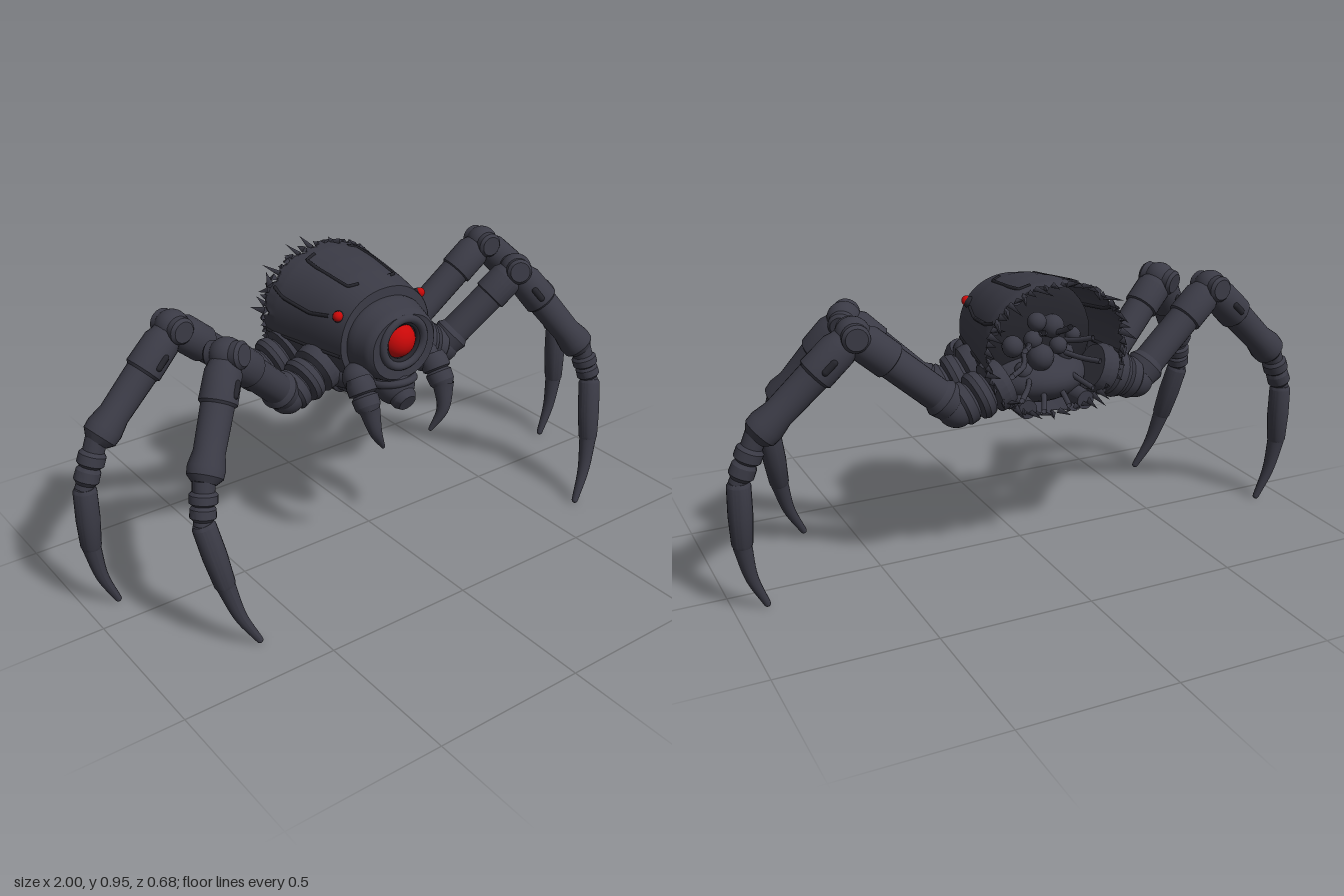
import * as THREE from 'three';
import { toCreasedNormals } from 'three/addons/utils/BufferGeometryUtils.js';
import { ParametricGeometry } from 'three/addons/geometries/ParametricGeometry.js';

const metal = new THREE.MeshStandardMaterial({ color: 0x3a3a45, side: THREE.DoubleSide });
const dark = new THREE.MeshStandardMaterial({ color: 0x24242b, side: THREE.DoubleSide });
const red = new THREE.MeshStandardMaterial({ color: 0xc80808 });
const V = (x, y, z) => new THREE.Vector3(x, y, z);
const UP = V(0, 1, 0);

let seed = 7;
const rand = () => (seed = (seed * 16807) % 2147483647) / 2147483647;

function add(parent, name, geometry, material = metal, pos) {
  const m = new THREE.Mesh(geometry, material);
  m.name = name;
  if (pos) m.position.copy(pos);
  parent.add(m);
  return m;
}

// Turned part from a to b; profile is a list of [fraction along, radius]
function turned(parent, name, a, b, profile, material = metal) {
  const d = b.clone().sub(a), len = d.length();
  const pts = profile.map(([t, r]) => new THREE.Vector2(r, t * len));
  const m = add(parent, name, toCreasedNormals(new THREE.LatheGeometry(pts, 24), 0.5), material, a);
  m.quaternion.setFromUnitVectors(UP, d.normalize());
  return m;
}

// Tube along points, tapering from r0 to r1
function tapered(parent, name, points, r0, r1) {
  const curve = new THREE.CatmullRomCurve3(points), n = 14, k = 16;
  const g = new THREE.TubeGeometry(curve, n, 1, k), p = g.attributes.position, v = V(0, 0, 0);
  for (let i = 0; i < p.count; i++) {
    const t = Math.floor(i / (k + 1)) / n, c = curve.getPointAt(t);
    v.fromBufferAttribute(p, i).sub(c).multiplyScalar(r0 + (r1 - r0) * t).add(c);
    p.setXYZ(i, v.x, v.y, v.z);
  }
  g.computeVertexNormals();
  add(parent, name, g);
  add(parent, name + 'End', new THREE.SphereGeometry(r1, 12, 8), metal, points[points.length - 1]);
}

// Hull cross-sections: z, half width, top, bottom
const HULL = [[0.09, 0.172, 0.897, 0.59], [0, 0.188, 0.918, 0.565], [-0.1, 0.205, 0.932, 0.55],
  [-0.2, 0.224, 0.939, 0.54], [-0.26, 0.23, 0.937, 0.535]];
const COLLAR = [[0.18, 0.085, 0.825, 0.655], [0.183, 0.118, 0.835, 0.625], [0.172, 0.128, 0.845, 0.615],
  [0.1, 0.15, 0.866, 0.6], [0.09, 0.15, 0.866, 0.6], [0.088, 0.172, 0.897, 0.59]];

function section(list, t, angle, target) {
  const f = Math.min(t * (list.length - 1), list.length - 1.0001), i = Math.floor(f);
  const [z, w, top, bot] = list[i].map((a, j) => a + (list[i + 1][j] - a) * (f - i));
  const s = Math.sin(angle), c = Math.cos(angle), mid = 0.735;
  const bend = (x) => Math.sign(x) * Math.abs(x) ** 0.94;
  return target.set(w * bend(c), mid + bend(s) * (s > 0 ? top - mid : mid - bot), z);
}

function tear(a) {
  return 0.014 * Math.sin(a * 11) + 0.01 * Math.sin(a * 23 + 1) + 0.008 * Math.sin(a * 37 + 2);
}

function buildBody(root) {
  const body = new THREE.Group();
  body.name = 'body';
  root.add(body);
  // Shell with a torn open rear
  add(body, 'shell', new ParametricGeometry((u, v, p) => {
    const a = u * Math.PI * 2;
    section(HULL, v, a, p);
    p.z += tear(a) * Math.max(0, (v - 0.75) * 4);
  }, 160, 16));
  add(body, 'frontCollar', toCreasedNormals(new ParametricGeometry((u, v, p) =>
    section(COLLAR, v, u * Math.PI * 2, p), 64, 20), 0.5));

  // Shreds around the torn rim
  const p = V(0, 0, 0);
  for (let i = 0; i < 58; i++) {
    const a = i / 58 * Math.PI * 2, len = 0.025 + 0.06 * rand() ** 2;
    section(HULL, 1, a, p);
    const dir = V((rand() - 0.5) * 0.9, (rand() - 0.5) * 0.9, -1).normalize();
    const shred = add(body, 'tornShred', new THREE.ConeGeometry(0.009 + 0.006 * rand(), len, 3), metal,
      p.clone().addScaledVector(dir, len * 0.35));
    shred.quaternion.setFromUnitVectors(UP, dir);
  }

  // Raised seams over the shell
  const seam = (name, coords) => add(body, name, new THREE.TubeGeometry(new THREE.CatmullRomCurve3(
    coords.map(([t, a]) => section(HULL, t, a, V(0, 0, 0))), false, 'catmullrom', 0.1), 24, 0.006, 6), dark);
  for (const s of [1, -1]) {
    const at = (a) => Math.PI / 2 - s * a;
    seam('topSlot', [[0.76, at(0.27)], [0.74, at(0.43)], [0.6, at(0.47)], [0.22, at(0.47)], [0.17, at(0.3)]]);
    seam('sideSlot', [[0.9, at(1.05)], [0.7, at(1.15)], [0.4, at(1.2)], [0.2, at(1.1)]]);
    seam('lowerSeam', [[0.02, at(1.75)], [0.4, at(1.75)], [0.95, at(1.75)]]);
    add(body, 'smallEyeSocket', new THREE.SphereGeometry(0.019, 16, 12), dark, V(s * 0.153, 0.826, 0.052));
    add(body, 'smallEye', new THREE.SphereGeometry(0.016, 16, 12), red, V(s * 0.16, 0.831, 0.058));
  }

  // Main eye with its rings
  add(body, 'eyeSocket', new THREE.CircleGeometry(0.1, 40), dark, V(0, 0.74, 0.15));
  add(body, 'eyeRing', new THREE.TorusGeometry(0.078, 0.014, 12, 48), metal, V(0, 0.745, 0.18));
  add(body, 'innerEyeRing', new THREE.TorusGeometry(0.064, 0.009, 10, 48), dark, V(0, 0.745, 0.172));
  add(body, 'mainEye', new THREE.SphereGeometry(0.058, 32, 24), red, V(0, 0.745, 0.146));

  // Underside and chin
  add(body, 'underside', new THREE.SphereGeometry(1, 32, 20), metal, V(0, 0.615, -0.06)).scale.set(0.18, 0.09, 0.19);
  add(body, 'chin', new THREE.SphereGeometry(0.066, 24, 16), metal, V(0, 0.585, 0.135));
  add(body, 'chinBand', new THREE.TorusGeometry(0.066, 0.012, 10, 32), metal, V(0, 0.6, 0.13)).rotation.x = 1.35;
  turned(body, 'mouth', V(0, 0.57, 0.15), V(0, 0.545, 0.205), [[0, 0.045], [0.7, 0.042], [1, 0.03], [1, 0]]);
  for (const s of [1, -1]) {
    turned(body, 'bellyRib', V(s * 0.07, 0.56, 0.08), V(s * 0.1, 0.56, -0.26),
      [[0, 0], [0, 0.03], [0.3, 0.035], [0.32, 0.045], [0.6, 0.045], [0.62, 0.035], [1, 0.03], [1, 0]]);
  }

  // Broken machinery in the open rear
  add(body, 'bulkhead', new THREE.SphereGeometry(1, 32, 16), dark, V(0, 0.73, -0.1)).scale.set(0.195, 0.19, 0.05);
  for (let i = 0; i < 12; i++) {
    const a = i * 2.4, r = 0.035 * Math.sqrt(i + 0.5);
    add(body, 'innerLump', new THREE.SphereGeometry(0.025 + 0.022 * rand(), 14, 10), metal,
      V(Math.cos(a) * r * 1.1, 0.7 + Math.sin(a) * r, -0.15 - 0.05 * rand()));
  }
  for (let i = 0; i < 10; i++) {
    const a = i * 0.63, x = Math.cos(a), y = Math.sin(a);
    add(body, 'brokenCable', new THREE.TubeGeometry(new THREE.CatmullRomCurve3([
      V(x * 0.05, 0.7 + y * 0.05, -0.13), V(x * 0.1, 0.69 + y * 0.1, -0.23),
      V(x * 0.15 + 0.03 * rand(), 0.69 + y * 0.13, -0.25 - 0.07 * rand())]), 14, 0.009, 7));
  }
}

function buildLeg(root, s, name, coords) {
  const leg = new THREE.Group();
  leg.name = name;
  root.add(leg);
  const [hip, start, knee, ankle, shin, foot, tip] = coords.map(([x, y, z]) => V(s * x, y, z));
  const mix = (a, b, t) => a.clone().lerp(b, t);

  turned(leg, 'hipBellows', hip, start, [[0, 0], [0, 0.072], [0.14, 0.082], [0.3, 0.08], [0.36, 0.058], [0.42, 0.072],
    [0.55, 0.078], [0.64, 0.072], [0.68, 0.052], [0.74, 0.066], [0.9, 0.068], [1, 0.05], [1, 0]]);
  add(leg, 'hipBall', new THREE.SphereGeometry(0.06, 24, 16), metal, start);
  turned(leg, 'thigh', start, mix(start, knee, 0.98), [[0, 0.035], [0.06, 0.056], [0.15, 0.062], [0.2, 0.051], [0.66, 0.051],
    [0.67, 0.058], [0.9, 0.058], [0.97, 0.046], [1, 0]]);

  // Knee hinge across the bend
  const axis = knee.clone().sub(start).cross(ankle.clone().sub(knee)).normalize();
  add(leg, 'kneeBall', new THREE.SphereGeometry(0.053, 24, 16), metal, knee);
  turned(leg, 'kneeHinge', knee.clone().addScaledVector(axis, -0.062), knee.clone().addScaledVector(axis, 0.062),
    [[0, 0], [0, 0.033], [0.08, 0.042], [0.92, 0.042], [1, 0.033], [1, 0]]);

  turned(leg, 'lowerLeg', knee, ankle, [[0, 0.04], [0.1, 0.05], [0.14, 0.056], [0.38, 0.058], [0.4, 0.05], [0.76, 0.047],
    [0.88, 0.056], [0.95, 0.054], [1, 0.036], [1, 0]]);
  // Vent on the outer face of the lower leg
  const along = ankle.clone().sub(knee).normalize(), out = along.clone().cross(axis).normalize();
  for (const side of [1, -1]) {
    const vent = add(leg, 'vent', new THREE.CapsuleGeometry(0.012, 0.035, 4, 10), dark,
      mix(knee, ankle, 0.27).addScaledVector(axis, side * 0.052));
    vent.quaternion.setFromRotationMatrix(new THREE.Matrix4().makeBasis(out, along, axis.clone().multiplyScalar(-1)
      .multiplyScalar(out.clone().cross(along).dot(axis) > 0 ? -1 : 1)));
  }
  turned(leg, 'ankleRings', mix(ankle, shin, -0.1), mix(ankle, shin, 1.05), [[0, 0], [0, 0.034], [0.25, 0.033], [0.32, 0.042],
    [0.5, 0.042], [0.56, 0.031], [0.63, 0.038], [0.82, 0.039], [0.9, 0.028], [1, 0.028], [1, 0]]);
  turned(leg, 'shin', shin, foot, [[0, 0], [0, 0.03], [0.05, 0.036], [0.5, 0.037], [0.93, 0.032], [1, 0.026], [1, 0]]);
  const bow = mix(foot, tip, 0.5).add(V(s * 0.01, 0, 0));
  tapered(leg, 'claw', [mix(foot, shin, 0.04), bow, tip.clone().add(V(0, 0.006, 0))], 0.029, 0.011);
}

function buildFang(root, s) {
  const fang = new THREE.Group();
  fang.name = s > 0 ? 'leftFang' : 'rightFang';
  root.add(fang);
  const P = (x, y, z) => V(s * x, y, z);
  add(fang, 'fangSocket', new THREE.SphereGeometry(0.05, 24, 16), metal, P(0.13, 0.64, 0.12));
  turned(fang, 'fangBase', P(0.145, 0.65, 0.14), P(0.147, 0.56, 0.205), [[0, 0], [0, 0.038], [0.2, 0.046], [0.45, 0.046],
    [0.5, 0.034], [0.57, 0.043], [0.85, 0.041], [1, 0.03], [1, 0]]);
  tapered(fang, 'fangTip', [P(0.147, 0.575, 0.2), P(0.134, 0.49, 0.218), P(0.096, 0.422, 0.205)], 0.035, 0.007);
}

export function createModel() {
  const root = new THREE.Group();
  root.name = 'robotSpider';
  buildBody(root);
  for (const s of [1, -1]) {
    const side = s > 0 ? 'left' : 'right';
    buildLeg(root, s, side + 'FrontLeg', [[0.15, 0.645, -0.03], [0.31, 0.58, -0.01], [0.56, 0.82, 0.07],
      [0.745, 0.53, 0.225], [0.77, 0.42, 0.25], [0.735, 0.21, 0.3], [0.655, 0.005, 0.338]]);
    buildLeg(root, s, side + 'RearLeg', [[0.15, 0.645, -0.2], [0.31, 0.58, -0.2], [0.61, 0.84, -0.16],
      [0.905, 0.56, -0.125], [0.96, 0.43, -0.115], [0.963, 0.215, -0.11], [0.9, 0.005, -0.1]]);
    buildFang(root, s);
  }
  return root;
}
